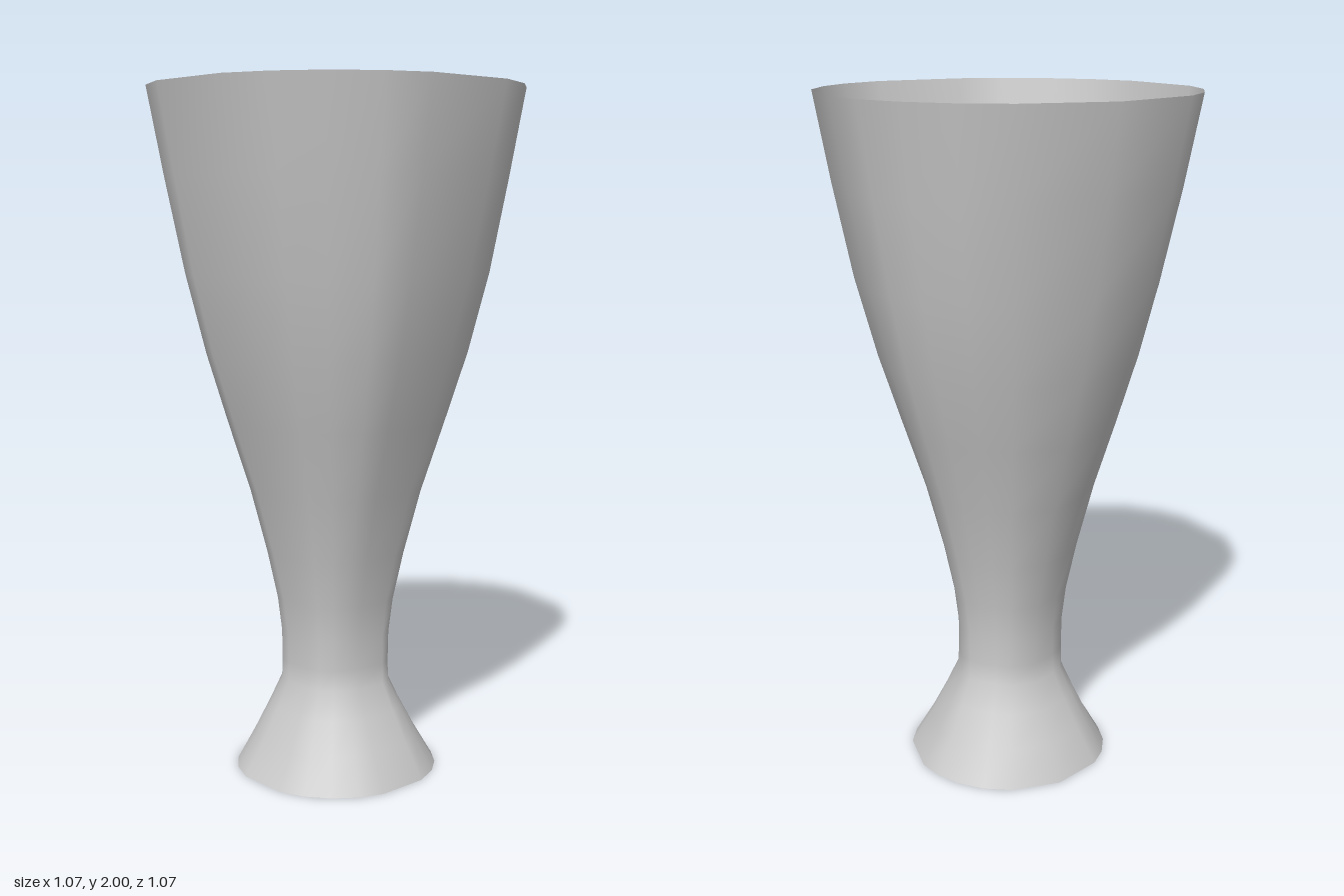
import * as THREE from 'three';

// Height and radius of each ring, from the foot to the rim
const RINGS = [
  [0, 0.3], [0.1, 0.243], [0.19, 0.197], [0.27, 0.16], [0.33, 0.157], [0.42, 0.158], [0.52, 0.17],
  [0.66, 0.2], [0.85, 0.25], [1.05, 0.315], [1.25, 0.378], [1.48, 0.438], [1.75, 0.493], [2, 0.539],
];

// Uneven angles of the corners around the rim, in degrees
const ANGLES = [22, 38, 52, 67, 97, 111, 126, 142, 158, 187, 218, 232, 247, 262, 292, 307, 322, 338, 352];

// Slight five-sided fluting, strongest at the neck and fading to foot and rim
function fluting(y, degrees) {
  const strength = y < 0.35 ? y / 0.35 : Math.max(0, 1 - (y - 0.35) / 1.5);
  const turn = 28 + (y - 0.35) * 20;
  return 1 + 0.045 * strength * Math.cos(THREE.MathUtils.degToRad(5 * (degrees - turn)));
}

function vesselGeometry() {
  const positions = [];
  const indices = [];
  const n = ANGLES.length;
  RINGS.forEach(([y, radius], i) => {
    ANGLES.forEach((degrees, j) => {
      const a = THREE.MathUtils.degToRad(degrees);
      const r = radius * fluting(y, degrees);
      positions.push(r * Math.cos(a), y, -r * Math.sin(a));
      if (i === 0) return;
      const k = (j + 1) % n;
      const low = (i - 1) * n;
      const high = i * n;
      indices.push(low + j, low + k, high + k, low + j, high + k, high + j);
    });
  });
  const geometry = new THREE.BufferGeometry();
  geometry.setAttribute('position', new THREE.Float32BufferAttribute(positions, 3));
  geometry.setIndex(indices);
  geometry.computeVertexNormals();
  return geometry;
}

export function createModel() {
  const group = new THREE.Group();
  group.name = 'vase';
  // Thin wall, open at the rim and at the foot
  const material = new THREE.MeshStandardMaterial({ color: 0xcccccc, side: THREE.DoubleSide });
  const wall = new THREE.Mesh(vesselGeometry(), material);
  wall.name = 'vaseWall';
  group.add(wall);
  return group;
}
